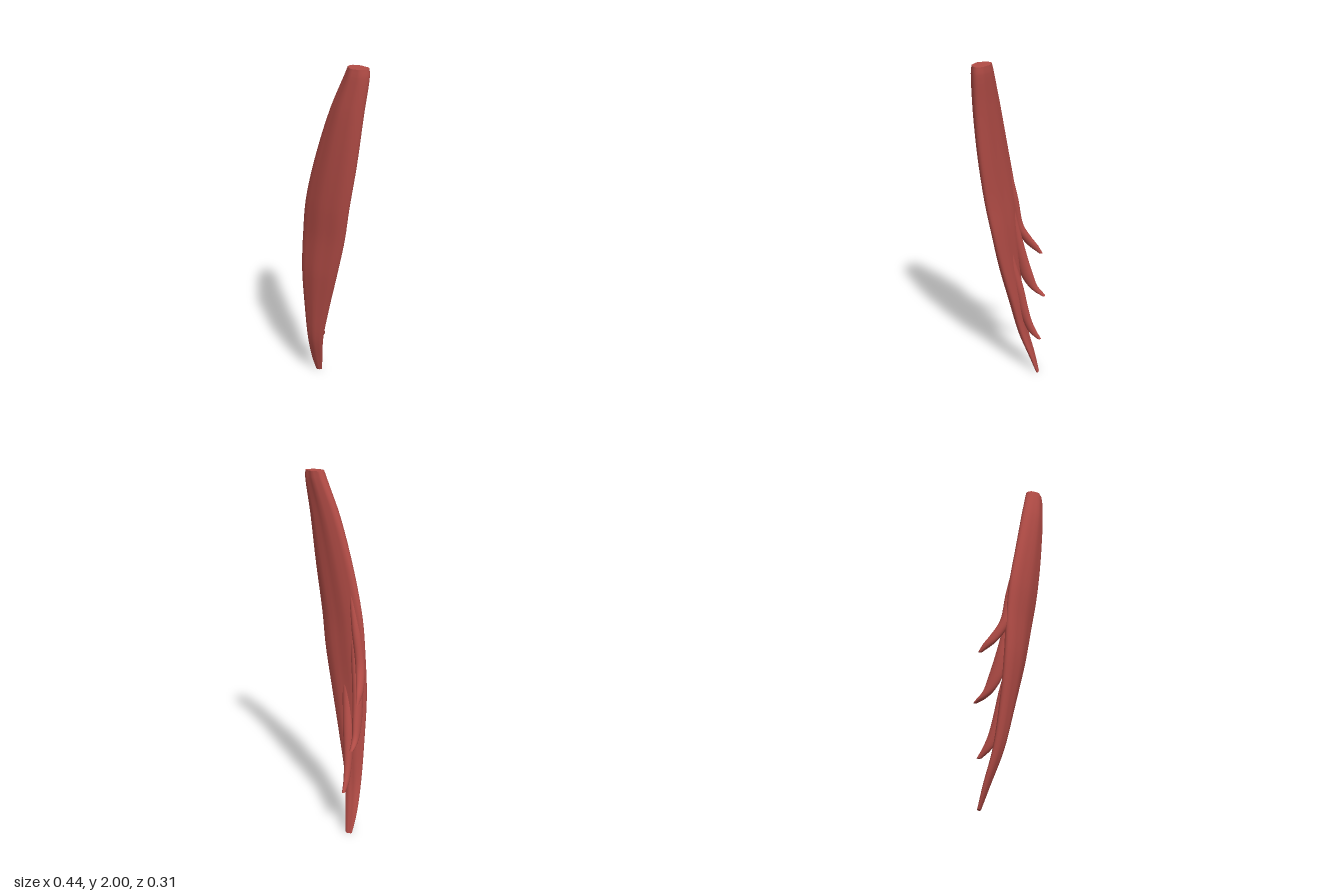
import * as THREE from 'three';

const SIDES = 28;

// Closed loft through horizontal sections.
// Row: [y, leftX, leftZ, rightX, rightZ, halfThickness]
function loft(rows, rings, bow, ripple) {
  const a = new THREE.CatmullRomCurve3(rows.map(r => new THREE.Vector3(r[1], r[0], r[2])), false, 'centripetal');
  const b = new THREE.CatmullRomCurve3(rows.map(r => new THREE.Vector3(r[3], r[0], r[4])), false, 'centripetal');
  const pos = [], idx = [];
  for (let i = 0; i <= rings; i++) {
    const t = i / rings;
    const L = a.getPoint(t), R = b.getPoint(t);
    const k = Math.min(Math.floor(t * (rows.length - 1)), rows.length - 2);
    const thick = THREE.MathUtils.lerp(rows[k][5], rows[k + 1][5], t * (rows.length - 1) - k);
    const half = Math.hypot(R.x - L.x, R.z - L.z) / 2;
    const ux = (R.x - L.x) / (2 * half), uz = (R.z - L.z) / (2 * half);
    for (let j = 0; j < SIDES; j++) {
      const ang = j / SIDES * Math.PI * 2;
      const c = Math.cos(ang), s = Math.sin(ang);
      // shallow fibre grooves and a forward bow across the width
      const groove = 1 + ripple * Math.cos(ang * 7 + t * 2);
      const u = half * c;
      const n = thick * (s * groove + bow * (1 - c * c));
      pos.push((L.x + R.x) / 2 + ux * u - uz * n, (L.y + R.y) / 2, (L.z + R.z) / 2 + uz * u + ux * n);
    }
  }
  for (let i = 0; i < rings; i++) {
    for (let j = 0; j < SIDES; j++) {
      const p = i * SIDES + j, q = i * SIDES + (j + 1) % SIDES;
      idx.push(p, q, p + SIDES, q, q + SIDES, p + SIDES);
    }
  }
  // end caps with their own vertices for a crisp rim
  for (const ring of [0, rings]) {
    const start = pos.length / 3;
    const center = [0, 0, 0];
    for (let j = 0; j < SIDES; j++) {
      for (let m = 0; m < 3; m++) {
        const v = pos[(ring * SIDES + j) * 3 + m];
        pos.push(v);
        center[m] += v / SIDES;
      }
    }
    pos.push(...center);
    for (let j = 0; j < SIDES; j++) {
      const p = start + j, q = start + (j + 1) % SIDES;
      if (ring === 0) idx.push(start + SIDES, q, p);
      else idx.push(start + SIDES, p, q);
    }
  }
  const geo = new THREE.BufferGeometry();
  geo.setAttribute('position', new THREE.Float32BufferAttribute(pos, 3));
  geo.setIndex(idx);
  geo.computeVertexNormals();
  return geo;
}

export function createModel() {
  const group = new THREE.Group();
  group.name = 'muscle';
  const red = new THREE.MeshStandardMaterial({ color: 0xb24c46 });
  red.name = 'muscle red';
  const add = (name, geo) => {
    const mesh = new THREE.Mesh(geo, red);
    mesh.name = name;
    group.add(mesh);
  };

  // Long flat belly, leaning and tapering to the lower tip
  add('belly', loft([
    [2.0, 0.1, 0.075, 0.212, 0.112, 0.04],
    [1.96, 0.083, 0.074, 0.215, 0.114, 0.044],
    [1.78, 0.003, 0.07, 0.193, 0.12, 0.047],
    [1.5, -0.092, 0.055, 0.157, 0.115, 0.046],
    [1.24, -0.16, 0.035, 0.112, 0.1, 0.045],
    [1.04, -0.185, 0.025, 0.078, 0.075, 0.042],
    [0.8, -0.2, 0.02, 0.022, 0.045, 0.041],
    [0.55, -0.2, 0.0, -0.042, 0.005, 0.035],
    [0.3, -0.2, -0.035, -0.1, -0.035, 0.026],
    [0.12, -0.2, -0.085, -0.13, -0.09, 0.017],
    [0.0, -0.187, -0.12, -0.15, -0.125, 0.009],
  ], 60, 0.17, 0.06));

  // Slips peeling off the back: [y, x, frontZ, backZ, half width]
  const slips = {
    upperSlip: [
      [1.38, -0.09, 0.06, 0.03, 0.012], [1.18, -0.13, 0.05, -0.002, 0.024],
      [1.0, -0.165, 0.035, -0.024, 0.026], [0.92, -0.186, 0.0, -0.065, 0.022],
      [0.86, -0.202, -0.045, -0.105, 0.017], [0.815, -0.21, -0.105, -0.128, 0.008],
    ],
    middleSlip: [
      [1.25, -0.09, 0.06, 0.03, 0.012], [1.05, -0.125, 0.05, 0.0, 0.024],
      [0.82, -0.16, 0.025, -0.045, 0.028], [0.68, -0.175, -0.005, -0.082, 0.024],
      [0.6, -0.185, -0.05, -0.108, 0.019], [0.56, -0.19, -0.095, -0.14, 0.015],
      [0.542, -0.19, -0.135, -0.155, 0.01],
    ],
    lowerSlip: [
      [0.98, -0.05, 0.06, 0.03, 0.012], [0.8, -0.08, 0.04, -0.005, 0.024],
      [0.62, -0.105, 0.01, -0.045, 0.028], [0.48, -0.12, -0.01, -0.07, 0.025],
      [0.38, -0.13, -0.04, -0.093, 0.02], [0.31, -0.137, -0.07, -0.122, 0.015],
      [0.265, -0.14, -0.12, -0.148, 0.009],
    ],
  };
  for (const [name, rows] of Object.entries(slips)) {
    add(name, loft(rows.map(([y, x, f, b, w]) => [y, x, f, x, b, w]), 24, 0, 0));
  }
  return group;
}
